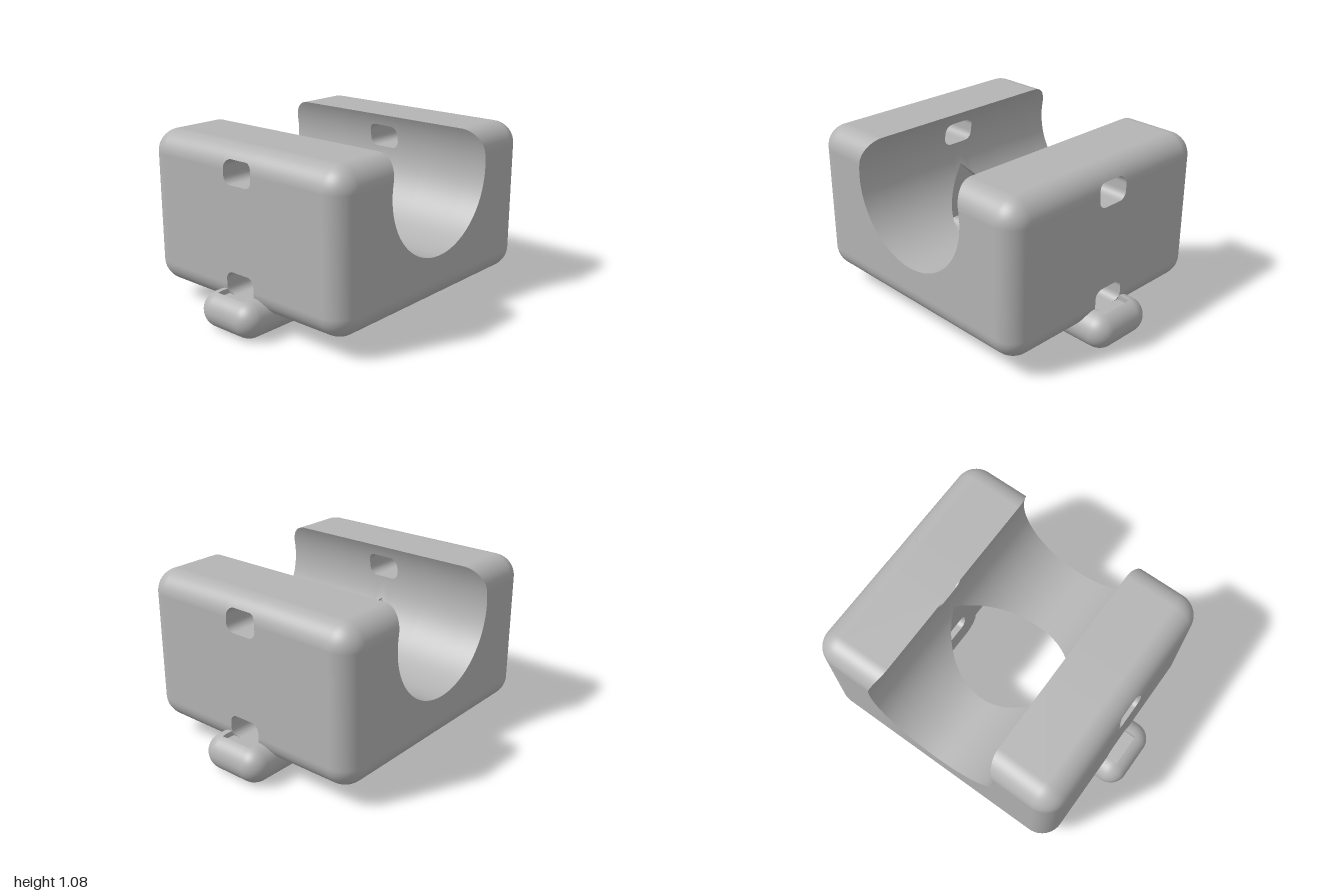
import * as THREE from 'three';
import { toCreasedNormals } from 'three/addons/utils/BufferGeometryUtils.js';

// Block, bore, wedge, slot and foot sizes
const HX = 0.85, HZ = 0.775, Y0 = 0.115, Y1 = 1.075, R = 0.14;
const BORE_Y = 0.855, BORE_R = 0.445, CUT_X = 0.445, APEX = 0.715, CUT_Z = APEX - Y0;
const SLOT_Z = 0.11, SLOT_H = 0.0725, SLOT_C = 0.05, LOW = 0.2625, HIGH = 0.9275;
const FOOT_R = 0.111, FOOT_END = 1, POCKET_X = 0.92;
const CX = HX - R, CY0 = Y0 + R, CY1 = Y1 - R;
const H = Math.PI / 2;

const steps = (a, b, n) => Array.from({ length: n + 1 }, (_, i) => a + (b - a) * i / n);
const round = (t, r) => r - Math.sqrt(Math.max(0, r * r - t * t));
const inset = z => (z > HZ - R ? round(z - HZ + R, R) : 0);
const boreX = y => Math.sqrt(Math.max(0, BORE_R ** 2 - (y - BORE_Y) ** 2));
const boreAngle = y => Math.asin(Math.max(-1, Math.min(1, (y - BORE_Y) / BORE_R)));
const outerX = y => HX - round(Math.max(0, CY0 - y, y - CY1), R);
const roofY = z => APEX - z;
const slotHalf = z => SLOT_H - (z > SLOT_Z - SLOT_C ? round(z - SLOT_Z + SLOT_C, SLOT_C) : 0);

// Surface lofted through one row of points per station
function loft(stations, row) {
  const rows = stations.map(row), n = rows[0].length, index = [];
  for (let i = 0; i < rows.length - 1; i++) {
    for (let j = 0; j < n - 1; j++) {
      const a = i * n + j, b = a + n;
      index.push(a, a + 1, b, b, a + 1, b + 1);
    }
  }
  const g = new THREE.BufferGeometry();
  g.setAttribute('position', new THREE.Float32BufferAttribute(rows.flat(2), 3));
  g.setIndex(index);
  g.computeVertexNormals();
  return g;
}

const arc = (cx, cy, r, a, b, z, n = 14) =>
  steps(a, b, n).map(t => [cx + r * Math.cos(t), cy + r * Math.sin(t), z]);

export function createModel() {
  const model = new THREE.Group();
  model.name = 'clampBlock';
  const grey = new THREE.MeshStandardMaterial({ color: 0xb4b4b4, side: THREE.DoubleSide });
  grey.name = 'plain grey';

  // Everything is built for one quarter (x > 0, z > 0) and mirrored
  const parts = [];
  const add = (name, geometry) => parts.push([name, geometry]);

  const slotZ = [0, ...steps(0, H, 8).map(t => SLOT_Z - SLOT_C + SLOT_C * Math.sin(t))];
  const edgeZ = steps(0, H, 14).map(t => HZ - R + R * Math.sin(t));

  // Rounded outer skin beside the slots
  add('outerShell', loft([SLOT_Z, ...edgeZ], z => {
    const d = inset(z), r = R - d;
    return [[CUT_X, Y0 + d, z], ...arc(CX, CY0, r, -H, 0, z),
      ...arc(CX, CY1, r, 0, H, z), [boreX(Y1 - d), Y1 - d, z]];
  }));
  add('bottomEdge', loft([CUT_Z, ...edgeZ], z => [[0, Y0 + inset(z), z], [CUT_X, Y0 + inset(z), z]]));

  // Outer skin above, between and below the slots
  add('shellBelowSlots', loft(slotZ, z => [[CUT_X, Y0, z],
    ...arc(CX, CY0, R, -H, Math.asin((LOW - slotHalf(z) - CY0) / R), z)]));
  add('shellBetweenSlots', loft(slotZ, z => [
    [HX, LOW + slotHalf(z), z], [HX, HIGH - slotHalf(z), z]]));
  add('shellAboveSlots', loft(slotZ, z => [
    ...arc(CX, CY1, R, Math.asin((HIGH + slotHalf(z) - CY1) / R), H, z), [boreX(Y1), Y1, z]]));

  // Flat end face around the bore
  const face = new THREE.Shape();
  face.moveTo(0, CY0);
  face.lineTo(CX, CY0);
  face.lineTo(CX, CY1);
  face.lineTo(boreX(CY1), CY1);
  face.absarc(0, BORE_Y, BORE_R, boreAngle(CY1), -H, true);
  add('endFace', new THREE.ShapeGeometry(face, 48).translate(0, 0, HZ));

  // Round bore, open at the top and cut by the wedge below
  const boreRow = (lo, hi, z, n) => arc(0, BORE_Y, BORE_R, boreAngle(lo), boreAngle(hi), z, n);
  const breakZ = APEX - (BORE_Y - BORE_R);
  const curveZ = steps(0, 1, 28).map(t => SLOT_Z + (breakZ - SLOT_Z) * (1 - (1 - t) ** 2));
  add('bore', loft([...curveZ, ...edgeZ], z => boreRow(roofY(z), Y1 - inset(z), z, 48)));
  add('boreBelowSlot', loft(slotZ, z => boreRow(roofY(z), HIGH - slotHalf(z), z, 16)));
  add('boreAboveSlot', loft(slotZ, z => boreRow(HIGH + slotHalf(z), Y1, z, 10)));

  // Wedge cut from below: sloped roof and upright side wall
  add('wedgeRoof', loft([...steps(0, SLOT_Z, 6), ...curveZ, CUT_Z], z => [
    [boreX(roofY(z)), roofY(z), z], [CUT_X, roofY(z), z]]));
  add('wedgeWall', loft([SLOT_Z, CUT_Z], z => [[CUT_X, Y0, z], [CUT_X, roofY(z), z]]));
  add('wedgeWallBelowSlot', loft(slotZ, z => [[CUT_X, Y0, z], [CUT_X, LOW - slotHalf(z), z]]));
  add('wedgeWallAboveSlot', loft(slotZ, z => [[CUT_X, LOW + slotHalf(z), z], [CUT_X, roofY(z), z]]));

  // Strap slots through the side walls
  const tunnel = (mid, innerX) => {
    const rim = [...slotZ.map(z => [z, mid - slotHalf(z)]),
      ...slotZ.slice().reverse().map(z => [z, mid + slotHalf(z)])];
    return loft(rim, ([z, y]) => [[innerX(y), y, z], [outerX(y), y, z]]);
  };
  add('upperSlot', tunnel(HIGH, boreX));
  add('lowerSlot', tunnel(LOW, () => CUT_X));

  // Rounded foot with a shallow pocket under the lower slot
  const footRow = ([x, pocket]) => {
    const r = FOOT_R - round(Math.max(0, x - FOOT_END + FOOT_R), FOOT_R);
    const top = FOOT_R + r, cut = pocket ? Math.min(top, LOW - SLOT_H) : top;
    return [[x, FOOT_R - r, 0],
      ...steps(-H, H, 24).map(t => [x, FOOT_R + r * Math.sin(t), FOOT_R + r * Math.cos(t)]),
      [x, top, SLOT_Z], [x, cut, SLOT_Z], [x, cut, 0]];
  };
  const start = Math.asin((POCKET_X - FOOT_END + FOOT_R) / FOOT_R);
  const footX = [null, [CUT_X, true],
    ...steps(0, start, 3).map(t => [FOOT_END - FOOT_R + FOOT_R * Math.sin(t), true]),
    ...steps(start, H, 12).map(t => [FOOT_END - FOOT_R + FOOT_R * Math.sin(t), false])];
  // The first station closes the flat inner end
  const foot = loft(footX, s => s ? footRow(s) : footRow([CUT_X, true]).map(() => [CUT_X, 0.1, 0]));
  add('foot', toCreasedNormals(foot, 0.6));

  // Mirror the quarter to all four corners
  for (const sx of [1, -1]) {
    for (const sz of [1, -1]) {
      const quarter = new THREE.Group();
      quarter.name = (sz > 0 ? 'front' : 'back') + (sx > 0 ? 'Left' : 'Right') + 'Quarter';
      quarter.scale.set(sx, 1, sz);
      for (const [name, geometry] of parts) {
        const mesh = new THREE.Mesh(geometry, grey);
        mesh.name = name;
        quarter.add(mesh);
      }
      model.add(quarter);
    }
  }
  return model;
}
